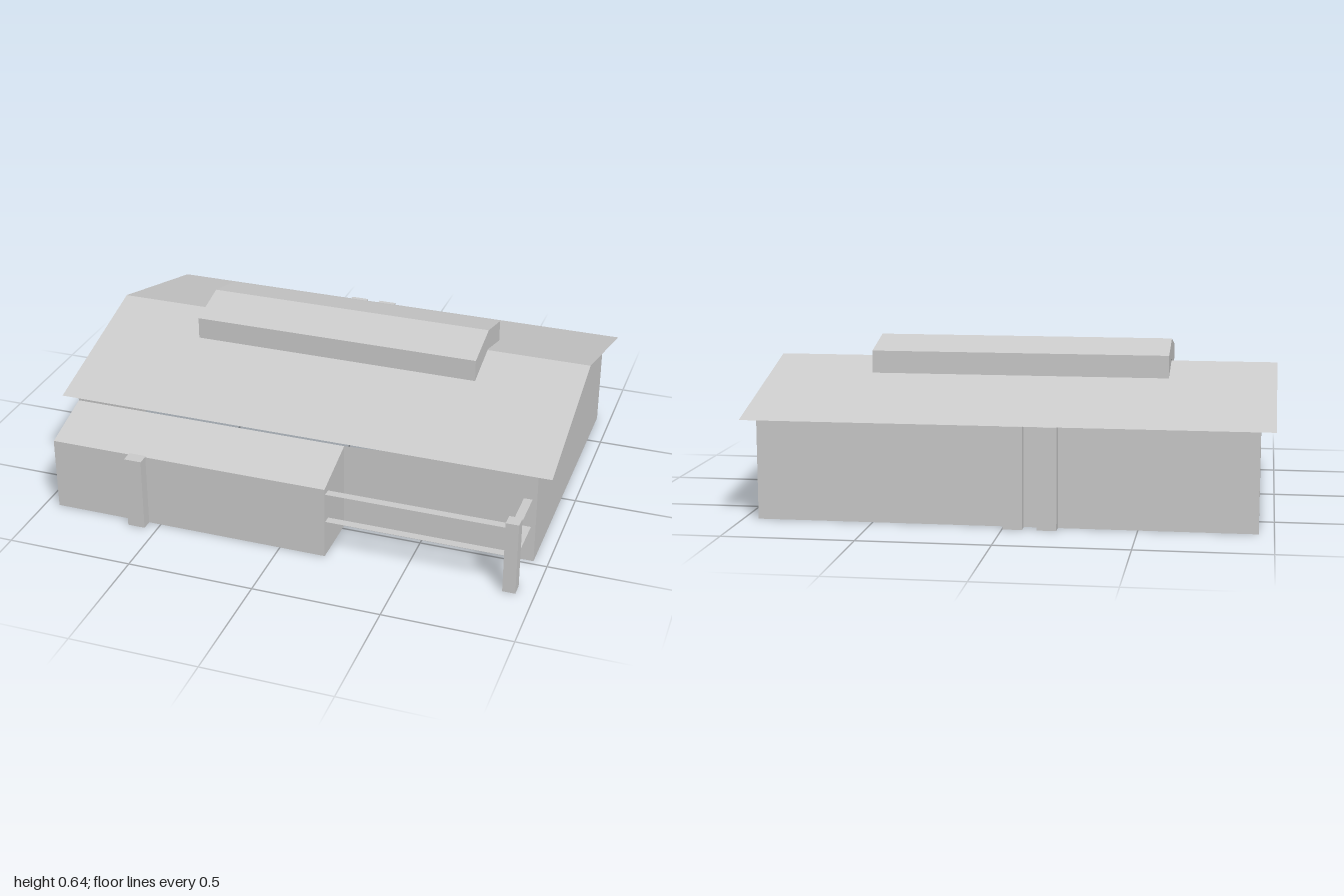
import * as THREE from 'three';

// Low, thin-walled hall with a gabled roof, raised ridge vent and front annex.
export function createModel() {
  const model = new THREE.Group();
  model.name = 'building';
  const grey = new THREE.MeshStandardMaterial({ color: 0xcccccc, side: THREE.DoubleSide, flatShading: true });
  grey.name = 'light grey';

  const add = (name, geometry) => {
    const mesh = new THREE.Mesh(geometry, grey);
    mesh.name = name;
    model.add(mesh);
    return mesh;
  };

  // Flat convex panel, corners counter-clockwise seen from outside
  const panel = (name, corners) => {
    const points = [];
    for (let i = 1; i < corners.length - 1; i++) points.push(...corners[0], ...corners[i], ...corners[i + 1]);
    const geometry = new THREE.BufferGeometry();
    geometry.setAttribute('position', new THREE.Float32BufferAttribute(points, 3));
    geometry.computeVertexNormals();
    return add(name, geometry);
  };

  // Box from its limits on each axis
  const block = (name, x0, x1, y0, y1, z0, z1) =>
    add(name, new THREE.BoxGeometry(x1 - x0, y1 - y0, z1 - z0))
      .position.set((x0 + x1) / 2, (y0 + y1) / 2, (z0 + z1) / 2);

  const W = 0.943, FRONT = 0.48, BACK = -0.705, RIDGE = -0.113, EAVE = 0.381;
  const AX = 0.183, AZ = 0.707, AH = 0.295, AT = 0.36;

  // Main walls: gables, back, and the front beside the annex
  const gable = [[0, FRONT], [0, BACK], [EAVE, BACK], [0.548, RIDGE], [EAVE, FRONT]];
  panel('leftGableWall', gable.map(([y, z]) => [W, y, z]));
  panel('rightGableWall', gable.map(([y, z]) => [-W, y, z]).reverse());
  panel('backWall', [[W, 0, BACK], [-W, 0, BACK], [-W, EAVE, BACK], [W, EAVE, BACK]]);
  panel('frontWall', [[AX, 0, FRONT], [W, 0, FRONT], [W, EAVE, FRONT], [0.55, EAVE, FRONT], [AX, AT, FRONT]]);

  // Overhanging roof sheets
  const RY = 0.555, RE = 0.385;
  panel('frontRoof', [[-1, RE, 0.507], [1, RE, 0.507], [1, RY, RIDGE], [-1, RY, RIDGE]]);
  panel('backRoof', [[1, RE, -0.74], [-1, RE, -0.74], [-1, RY, RIDGE], [1, RY, RIDGE]]);

  // Raised ridge vent: chevron section run along x
  const section = new THREE.Shape([
    [-0.077, 0.51], [0.113, 0.56], [0.3, 0.51], [0.3, 0.598], [0.113, 0.643], [-0.077, 0.598],
  ].map(([x, y]) => new THREE.Vector2(x, y)));
  const vent = new THREE.ExtrudeGeometry(section, { depth: 1.17, bevelEnabled: false });
  vent.rotateY(Math.PI / 2).translate(-0.585, 0, 0);
  add('ridgeVent', vent);

  // Front annex, open to the hall behind
  const side = [[0, AZ], [0, FRONT], [AT, FRONT], [AH, AZ]];
  panel('annexLeftWall', side.map(([y, z]) => [AX, y, z]));
  panel('annexRightWall', side.map(([y, z]) => [-W, y, z]).reverse());
  panel('annexFrontWall', [[-W, 0, AZ], [AX, 0, AZ], [AX, AH, AZ], [-W, AH, AZ]]);
  panel('annexRoof', [[-W, AH, AZ], [AX, AH, AZ], [AX, AT, FRONT], [-W, AT, FRONT]]);
  panel('annexFloor', [[-W, 0, FRONT], [AX, 0, FRONT], [AX, 0, AZ], [-W, 0, AZ]]);

  // Posts and back wall flues
  block('annexPost', -0.62, -0.55, 0, 0.297, 0.69, 0.75);
  block('railPost', 0.88, 0.93, 0, 0.297, 0.66, 0.712);
  block('rightFlue', -0.203, -0.13, 0, 0.386, -0.755, -0.69);
  block('leftFlue', -0.075, -0.002, 0, 0.386, -0.755, -0.69);

  // Flat fence rails
  for (const y of [0.15, 0.27]) {
    panel('frontRail', [[AX, y, 0.7], [0.89, y, 0.7], [0.89, y, 0.667], [AX, y, 0.667]]);
    panel('sideRail', [[0.892, y, 0.667], [0.925, y, 0.667], [0.925, y, FRONT], [0.892, y, FRONT]]);
  }
  return model;
}
